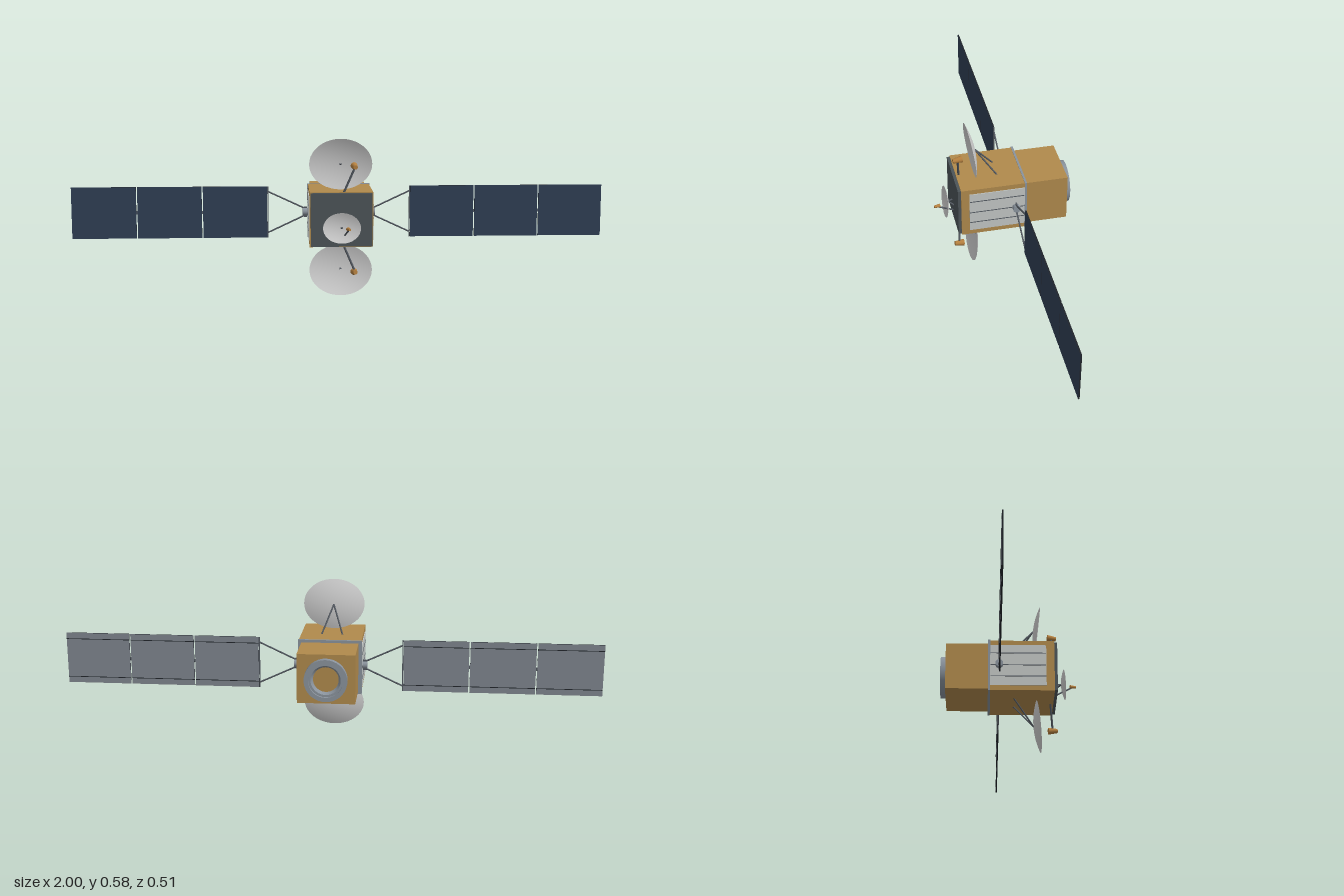
import * as THREE from 'three';

const mat = (name, color, double = false) => {
  const m = new THREE.MeshStandardMaterial({ color });
  m.name = name;
  if (double) m.side = THREE.DoubleSide;
  return m;
};

export function createModel() {
  const gold = mat('gold foil', 0xb08a4c);
  const white = mat('radiator white', 0xc2c6c4);
  const grey = mat('metal grey', 0x8a939d, true);
  const dark = mat('dark metal', 0x525860);
  const plate = mat('front plate grey', 0x4c5458);
  const blue = mat('solar blue', 0x2f3e54);
  const back = mat('panel back grey', 0x7f868e);
  const black = mat('panel edge black', 0x20242a);
  const dishGrey = mat('dish grey', 0xcccccc, true);
  const copper = mat('horn copper', 0xb5803f);

  const model = new THREE.Group();
  model.name = 'satellite';
  const V = (x, y, z) => new THREE.Vector3(x, y, z);
  const MID = 0.29;

  const add = (name, geo, material, x = 0, y = 0, z = 0) => {
    const m = new THREE.Mesh(geo, material);
    m.name = name;
    m.position.set(x, y, z);
    model.add(m);
    return m;
  };
  const box = (name, w, h, d, material, x, y, z) =>
    add(name, new THREE.BoxGeometry(w, h, d), material, x, y, z);

  // Round bar or cone from a (radius ra) to b (radius rb)
  const rod = (name, a, b, ra, rb, material, sides = 10) => {
    const dir = b.clone().sub(a);
    const m = add(name, new THREE.CylinderGeometry(rb, ra, dir.length(), sides), material);
    m.position.copy(a).add(b).multiplyScalar(0.5);
    m.quaternion.setFromUnitVectors(V(0, 1, 0), dir.normalize());
    return m;
  };

  // Shallow oval reflector opening towards +z, tilted about x
  const dish = (name, rx, ry, depth, y, z, tilt) => {
    const pts = [];
    for (let i = 0; i <= 10; i++) pts.push(new THREE.Vector2(i / 10, (i / 10) ** 2));
    const geo = new THREE.LatheGeometry(pts, 40);
    geo.rotateX(Math.PI / 2);
    geo.scale(rx, ry, depth);
    add(name, geo, dishGrey, 0, y, z).rotation.x = tilt;
  };

  // Body
  box('mainBody', 0.23, 0.2, 0.238, gold, 0, MID, 0.049);
  box('rearBody', 0.21, 0.182, 0.162, gold, 0, MID + 0.001, -0.151);
  box('collar', 0.236, 0.204, 0.008, grey, 0, MID, -0.072);
  box('frontPlate', 0.222, 0.194, 0.011, plate, 0, MID, 0.1735);

  // Hollow engine ring at the back, with hard steps
  const ring = [[0.046, 0], [0.054, 0.012], [0.062, 0.012], [0.062, 0.02], [0.078, 0.02], [0.078, 0]];
  for (let i = 0; i < ring.length - 1; i++) {
    const seg = [ring[i], ring[i + 1]].map(([r, h]) => new THREE.Vector2(r, h));
    add('engineRing', new THREE.LatheGeometry(seg, 36), grey, 0, MID, -0.232).rotation.x = -Math.PI / 2;
  }

  for (const s of [-1, 1]) {
    // Side radiator with dividing lines
    box('radiator', 0.004, 0.162, 0.206, white, s * 0.116, MID, 0.035);
    for (const y of [0.245, MID, 0.338])
      box('radiatorLine', 0.002, 0.003, 0.204, dark, s * 0.1182, y, 0.035);

    // Wing hub and yoke
    const z = -0.035;
    rod('wingHub', V(s * 0.112, MID, z), V(s * 0.136, MID, z), 0.014, 0.014, grey, 20);
    box('hubBar', 0.012, 0.04, 0.006, dark, s * 0.126, MID, z);
    for (const t of [-1, 1])
      rod('yokeStrut', V(s * 0.13, MID + t * 0.014, z), V(s * 0.267, MID + t * 0.078, z), 0.003, 0.003, dark);
    box('yokeBar', 0.004, 0.194, 0.005, dark, s * 0.267, MID, z);

    // Solar panels, blue in front and grey behind
    for (let i = 0; i < 3; i++) {
      const x = s * (0.39 + i * 0.2445);
      box('solarPanel', 0.24, 0.194, 0.005, [black, black, black, black, blue, back], x, MID, z);
      for (const t of [-1, 1])
        box('panelBackRail', 0.24, 0.0025, 0.001, black, x, MID + t * 0.074, z - 0.0028);
    }
    for (let i = 0; i < 2; i++)
      box('panelHinge', 0.006, 0.012, 0.003, dark, s * (0.51225 + i * 0.2445), MID, z);

    // Large dish above (s = 1) and below (s = -1), with its stand and feed
    const y = d => MID + s * d;
    dish('largeDish', 0.115, 0.094, 0.018, y(0.197), 0.094, s * 0.107);
    for (const t of [-1, 1])
      rod('dishStrut', V(0, y(0.196), 0.094), V(t * 0.04, y(0.096), 0.018), 0.003, 0.003, dark);
    rod('feedArm', V(0.008, y(0.095), 0.157), V(0.048, y(0.188), 0.166), 0.004, 0.004, dark);
    rod('feedHorn', V(0.05, y(0.191), 0.184), V(0.046, y(0.194), 0.15), 0.008, 0.0125, copper, 20);
  }

  // Small front dish
  dish('smallDish', 0.068, 0.055, 0.012, 0.264, 0.198, -0.08);
  for (const t of [-1, 1])
    rod('smallDishStrut', V(0, 0.265, 0.199), V(t * 0.02, 0.257, 0.176), 0.003, 0.003, dark);
  rod('smallFeedArm', V(0.002, 0.222, 0.176), V(0.023, 0.263, 0.238), 0.003, 0.003, dark);
  rod('smallFeedHorn', V(0.026, 0.267, 0.254), V(0.02, 0.266, 0.233), 0.0045, 0.007, copper, 16);

  return model;
}
